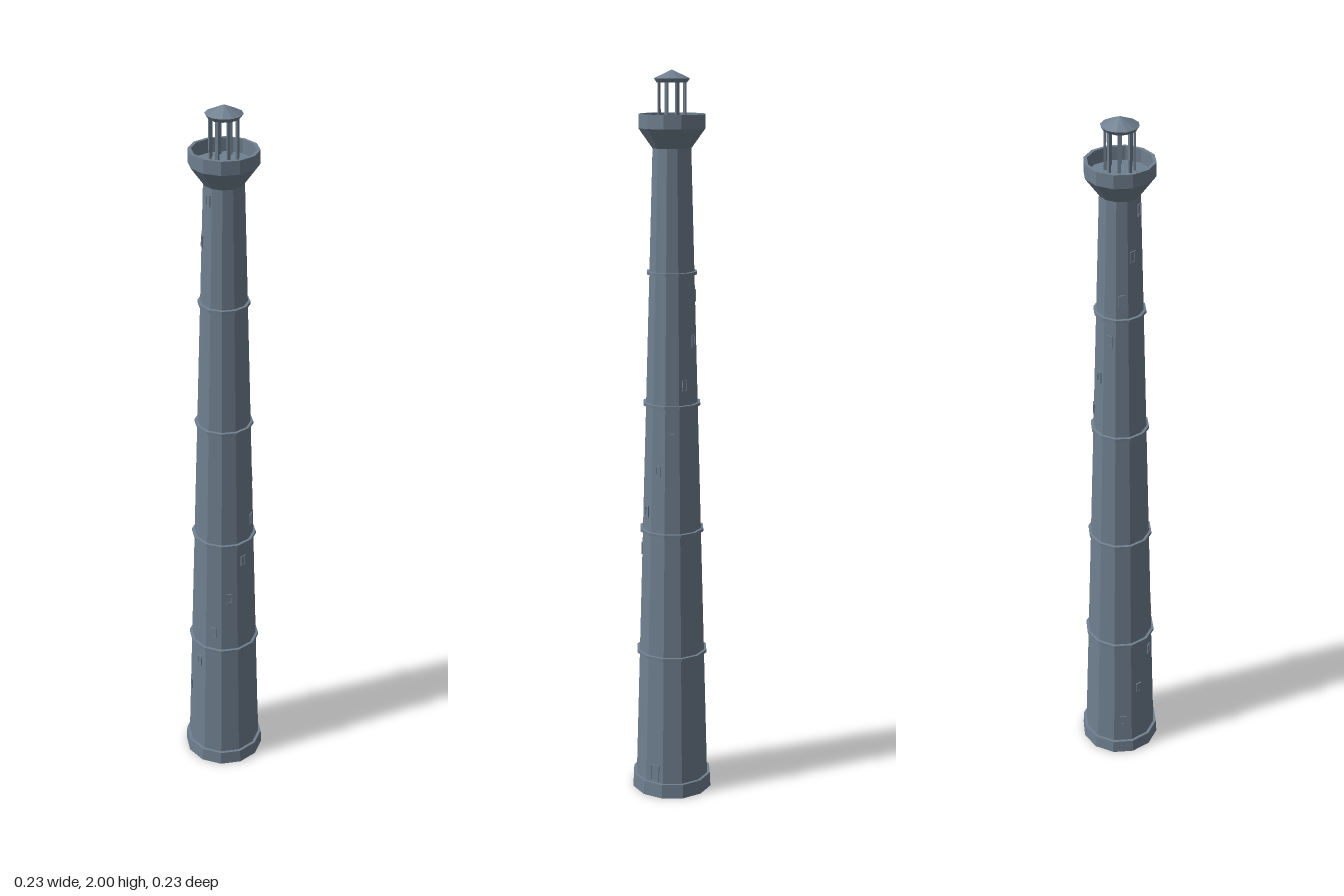
import * as THREE from 'three';

const SIDES = 12;
const slate = new THREE.MeshStandardMaterial({ color: 0x708090, flatShading: true });
slate.name = 'slate';

// Outer radius of the tapering shaft at height y
const shaftRadius = (y) => 0.105 - 0.0293 * y;

function add(parent, name, geometry) {
  const mesh = new THREE.Mesh(geometry, slate);
  mesh.name = name;
  parent.add(mesh);
  return mesh;
}

// Twelve-sided solid of revolution from [radius, y] pairs
function turned(parent, name, profile) {
  const points = profile.map(([r, y]) => new THREE.Vector2(r, y));
  return add(parent, name, new THREE.LatheGeometry(points, SIDES));
}

// Raised rectangular frame with an inset pane, lying against the shaft wall
function opening(parent, name, y, degrees, width, height, border) {
  const group = new THREE.Group();
  group.name = name;
  const w = width / 2, h = height / 2;
  const outline = new THREE.Shape([
    new THREE.Vector2(-w, -h), new THREE.Vector2(w, -h),
    new THREE.Vector2(w, h), new THREE.Vector2(-w, h)]);
  const a = w - border, b = h - border;
  outline.holes.push(new THREE.Path([
    new THREE.Vector2(-a, -b), new THREE.Vector2(-a, b),
    new THREE.Vector2(a, b), new THREE.Vector2(a, -b)]));
  const frame = new THREE.ExtrudeGeometry(outline, { depth: 0.006, bevelEnabled: false });
  add(group, name + 'Frame', frame).position.z = -0.003;
  add(group, name + 'Pane', new THREE.BoxGeometry(2 * a, 2 * b, 0.004)).position.z = -0.001;
  const angle = THREE.MathUtils.degToRad(degrees);
  const d = shaftRadius(y) * Math.cos(Math.PI / SIDES);
  group.position.set(Math.sin(angle) * d, y, Math.cos(angle) * d);
  group.rotation.set(-0.029, angle, 0, 'YXZ');
  parent.add(group);
}

export function createModel() {
  const model = new THREE.Group();
  model.name = 'lighthouse';

  // Hollow shaft and footing ring, open underneath
  turned(model, 'shaft', [
    [0.085, 0.01], [shaftRadius(0.01), 0.01], [shaftRadius(1.81), 1.81],
    [0.035, 1.81], [0.085, 0.01]]);
  turned(model, 'footing', [
    [0.094, 0], [0.114, 0], [0.112, 0.04], [0.094, 0.04], [0.094, 0]]);

  // String courses
  for (let i = 0; i < 4; i++) {
    const y = 0.41 + i * 0.355;
    const r = shaftRadius(y);
    turned(model, 'stringCourse' + (i + 1), [
      [r - 0.004, y - 0.005], [r + 0.007, y - 0.004],
      [r + 0.007, y + 0.004], [r - 0.004, y + 0.005]]);
  }

  // Windows follow the spiral stair, one wall face per step
  for (let i = 0; i < 15; i++) {
    opening(model, 'window' + (i + 1), 0.118 + i * 0.1177, -105 + i * 30, 0.017, 0.032, 0.004);
  }
  opening(model, 'door', 0.067, 105, 0.029, 0.05, 0.004);

  // Flared gallery with parapet and sunken floor
  turned(model, 'gallery', [
    [0, 1.80], [0.052, 1.80], [0.09, 1.852], [0.09, 1.888],
    [0.081, 1.888], [0.081, 1.852], [0, 1.852]]);

  // Lantern: sill, posts, head ring and pointed roof
  const lantern = new THREE.Group();
  lantern.name = 'lantern';
  model.add(lantern);
  turned(lantern, 'lanternSill', [[0.042, 1.852], [0.042, 1.862], [0, 1.862]]);
  for (let i = 0; i < 8; i++) {
    const angle = (i + 0.5) * Math.PI / 4;
    const post = add(lantern, 'lanternPost' + (i + 1), new THREE.BoxGeometry(0.008, 0.115, 0.006));
    post.position.set(Math.sin(angle) * 0.036, 1.9145, Math.cos(angle) * 0.036);
    post.rotation.y = angle;
  }
  turned(lantern, 'roof', [[0, 1.968], [0.041, 1.968], [0.048, 1.978], [0, 2]]);

  return model;
}
